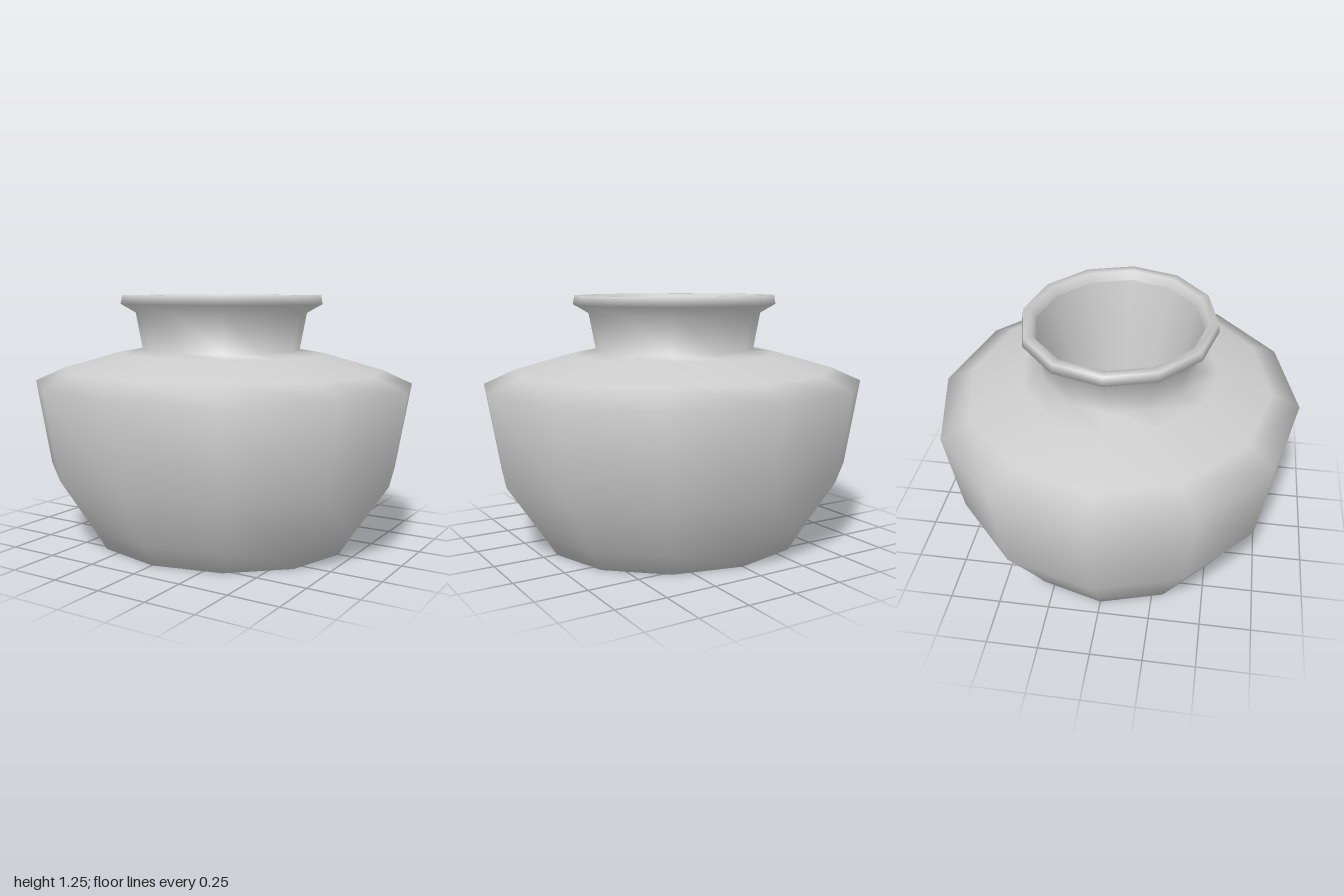
import * as THREE from 'three';

// Twelve-sided smooth surface of revolution, slightly flattened front to back
function ring(name, profile, material) {
  const points = profile.map(([r, y]) => new THREE.Vector2(r, y));
  const geometry = new THREE.LatheGeometry(points, 12);
  geometry.scale(1, 1, 0.9);
  const mesh = new THREE.Mesh(geometry, material);
  mesh.name = name;
  return mesh;
}

export function createModel() {
  const group = new THREE.Group();
  group.name = 'vase';
  const clay = new THREE.MeshStandardMaterial({ color: 0xcccccc, side: THREE.DoubleSide });

  // Flat base, flaring belly and sloping shoulder, up into the neck and lip
  group.add(ring('outerWall', [
    [0, 0], [0.68, 0], [0.75, 0.11], [0.925, 0.37], [1, 0.81],
    [0.84, 0.88], [0.54, 0.963], [0.415, 0.98],
    [0.45, 1.165], [0.53, 1.21], [0.522, 1.255], [0.475, 1.255], [0.455, 1.21],
  ], clay));

  // Tapering hollow inside the mouth
  group.add(ring('innerWall', [[0.455, 1.21], [0.4, 0.98], [0.3, 0.45]], clay));
  group.add(ring('innerFloor', [[0.3, 0.45], [0, 0.45]], clay));

  return group;
}
